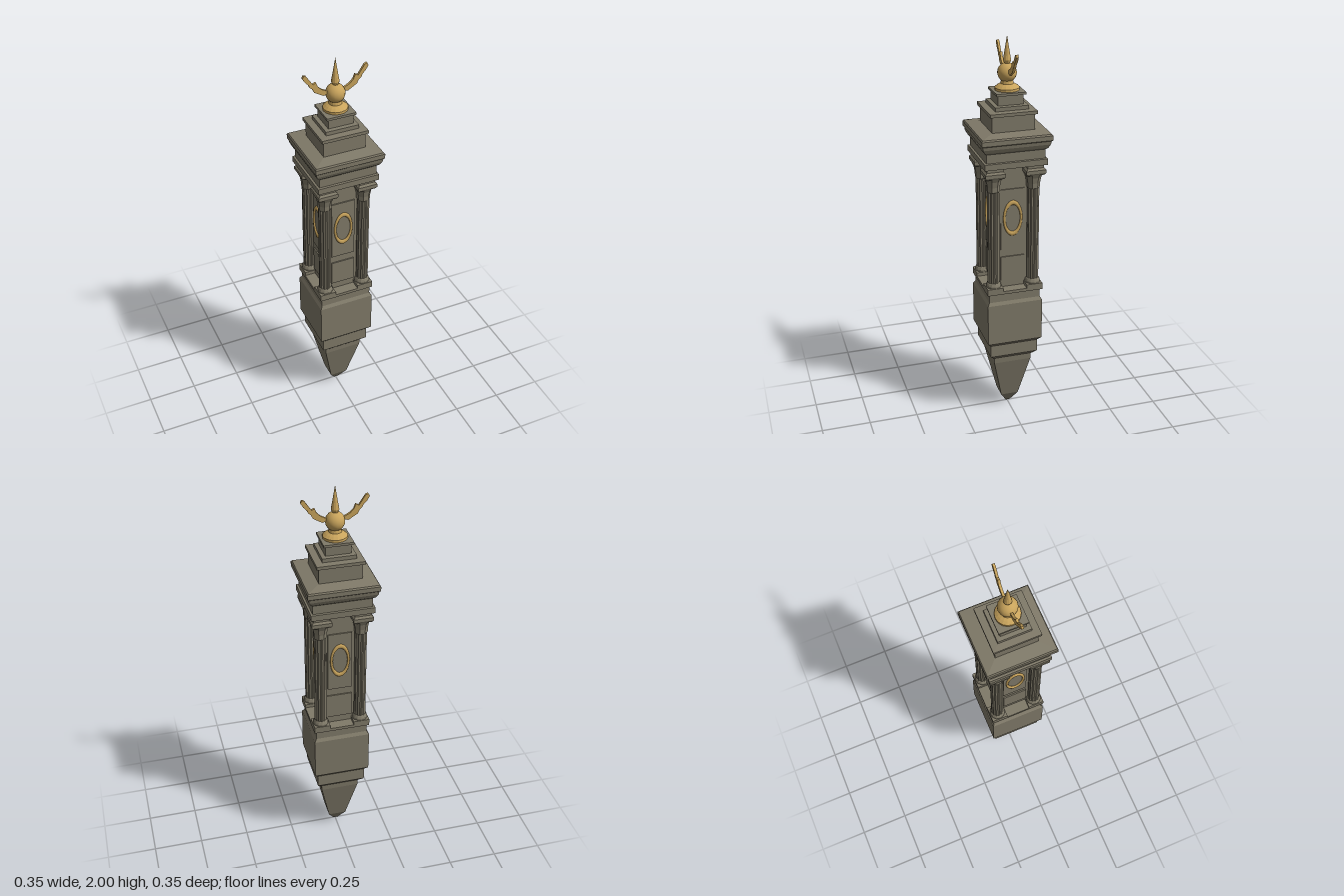
import * as THREE from 'three';

const material = (name, color) => {
  const m = new THREE.MeshStandardMaterial({ color });
  m.name = name;
  return m;
};

// Split faces so every facet gets its own flat normal
const facet = (geometry) => {
  const g = geometry.index ? geometry.toNonIndexed() : geometry;
  g.computeVertexNormals();
  return g;
};

const toPoints = (list, k = 1) => list.map(([r, y]) => new THREE.Vector2(r * k, y));

// Square section: profile of [half width, height] from bottom to top
const squareLathe = (list) =>
  facet(new THREE.LatheGeometry(toPoints(list, Math.SQRT2), 4, Math.PI / 4));

export function createModel() {
  const stone = material('stone', 0x807a69);
  const gold = material('gold', 0xc9a45c);
  const model = new THREE.Group();
  model.name = 'tower';

  const add = (parent, name, geometry, mat, x = 0, y = 0, z = 0) => {
    const mesh = new THREE.Mesh(geometry, mat);
    mesh.name = name;
    mesh.position.set(x, y, z);
    parent.add(mesh);
    return mesh;
  };

  // Hanging point and pedestal
  add(model, 'pendantPoint', squareLathe([
    [0, 0], [0.012, 0.01], [0.046, 0.068], [0.098, 0.3], [0.1, 0.335],
  ]), stone);
  add(model, 'pedestal', squareLathe([
    [0, 0.335], [0.105, 0.335], [0.125, 0.357], [0.125, 0.422], [0.143, 0.442],
    [0.143, 0.662], [0.133, 0.678], [0.133, 0.72], [0.143, 0.722], [0.143, 0.738], [0, 0.738],
  ]), stone);

  // Shaft between the columns
  add(model, 'shaft', squareLathe([[0.088, 0.735], [0.088, 1.4]]), stone);

  // Panels and oval frame on each of the four walls
  for (let i = 0; i < 4; i++) {
    const wall = new THREE.Group();
    wall.name = 'wall';
    wall.rotation.y = i * Math.PI / 2;
    add(wall, 'upperPanel', new THREE.BoxGeometry(0.122, 0.32, 0.008), stone, 0, 1.105, 0.09);
    add(wall, 'lowerPanel', new THREE.BoxGeometry(0.122, 0.13, 0.008), stone, 0, 0.84, 0.09);
    const frame = add(wall, 'ovalFrame', new THREE.TorusGeometry(0.0435, 0.0065, 8, 32), gold, 0, 1.112, 0.096);
    frame.scale.set(1, 1.9, 1);
    model.add(wall);
  }

  // Fluted column, shared by the four corners
  const fluted = new THREE.Shape();
  for (let i = 0; i < 24; i++) {
    const a = i / 24 * Math.PI * 2;
    const r = i % 2 ? 0.0265 : 0.031;
    if (i) fluted.lineTo(Math.cos(a) * r, Math.sin(a) * r);
    else fluted.moveTo(r, 0);
  }
  const columnGeometry = new THREE.ExtrudeGeometry(fluted, { depth: 0.52, bevelEnabled: false });
  columnGeometry.rotateX(-Math.PI / 2);
  const baseGeometry = facet(new THREE.LatheGeometry(toPoints([
    [0.039, 0.755], [0.039, 0.766], [0.034, 0.777], [0.029, 0.782],
  ]), 12));
  const capitalGeometry = facet(new THREE.LatheGeometry(toPoints([
    [0.029, 1.265], [0.034, 1.272], [0.034, 1.295], [0.04, 1.325], [0.053, 1.352],
  ]), 8, Math.PI / 8));
  for (const sx of [-1, 1]) {
    for (const sz of [-1, 1]) {
      const column = new THREE.Group();
      column.name = 'cornerColumn';
      column.position.set(sx * 0.102, 0, sz * 0.102);
      add(column, 'columnPlinth', new THREE.BoxGeometry(0.082, 0.022, 0.082), stone, 0, 0.746, 0);
      add(column, 'columnBase', baseGeometry, stone);
      add(column, 'columnShaft', columnGeometry, stone, 0, 0.757, 0);
      add(column, 'columnCapital', capitalGeometry, stone);
      add(column, 'columnAbacus', squareLathe([
        [0, 1.342], [0.044, 1.342], [0.05, 1.352], [0.05, 1.368], [0.041, 1.378], [0.041, 1.4], [0, 1.4],
      ]), stone);
      model.add(column);
    }
  }

  // Entablature with flared cornice
  add(model, 'entablature', squareLathe([
    [0, 1.395], [0.157, 1.395], [0.157, 1.425], [0.147, 1.427], [0.147, 1.472],
    [0.158, 1.482], [0.167, 1.5], [0.17, 1.517], [0.176, 1.522], [0.176, 1.545],
    [0.171, 1.552], [0.106, 1.562],
  ]), stone);

  // Stepped cap
  add(model, 'steppedCap', squareLathe([
    [0.106, 1.555], [0.106, 1.638], [0.117, 1.64], [0.117, 1.656], [0.083, 1.658],
    [0.083, 1.677], [0.063, 1.679], [0.063, 1.725], [0.073, 1.727], [0.073, 1.739], [0, 1.739],
  ]), stone);

  // Finial: foot, ball and spike
  add(model, 'finialFoot', facet(new THREE.LatheGeometry(toPoints([
    [0.06, 1.739], [0.06, 1.751], [0.046, 1.762], [0.032, 1.77], [0.028, 1.79],
  ]), 16)), gold);
  add(model, 'finialBall', new THREE.SphereGeometry(0.047, 16, 12), gold, 0, 1.822, 0);
  add(model, 'finialSpike', facet(new THREE.LatheGeometry(toPoints([
    [0.011, 1.86], [0.02, 1.882], [0.014, 1.915], [0, 2],
  ]), 12)), gold);

  // Jagged flat arms either side of the ball
  const armOutline = new THREE.Shape([
    [0.036, 1.828], [0.062, 1.822], [0.106, 1.848], [0.116, 1.868], [0.128, 1.878],
    [0.134, 1.892], [0.15, 1.908], [0.163, 1.93], [0.156, 1.943], [0.144, 1.938],
    [0.112, 1.89], [0.097, 1.897], [0.088, 1.874], [0.07, 1.856], [0.04, 1.84],
  ].map(([x, y]) => new THREE.Vector2(x, y)));
  const armGeometry = new THREE.ExtrudeGeometry(armOutline, { depth: 0.012, bevelEnabled: false });
  armGeometry.translate(0, 0, -0.006);
  add(model, 'leftArm', armGeometry, gold);
  add(model, 'rightArm', armGeometry, gold).rotation.y = Math.PI;

  return model;
}
